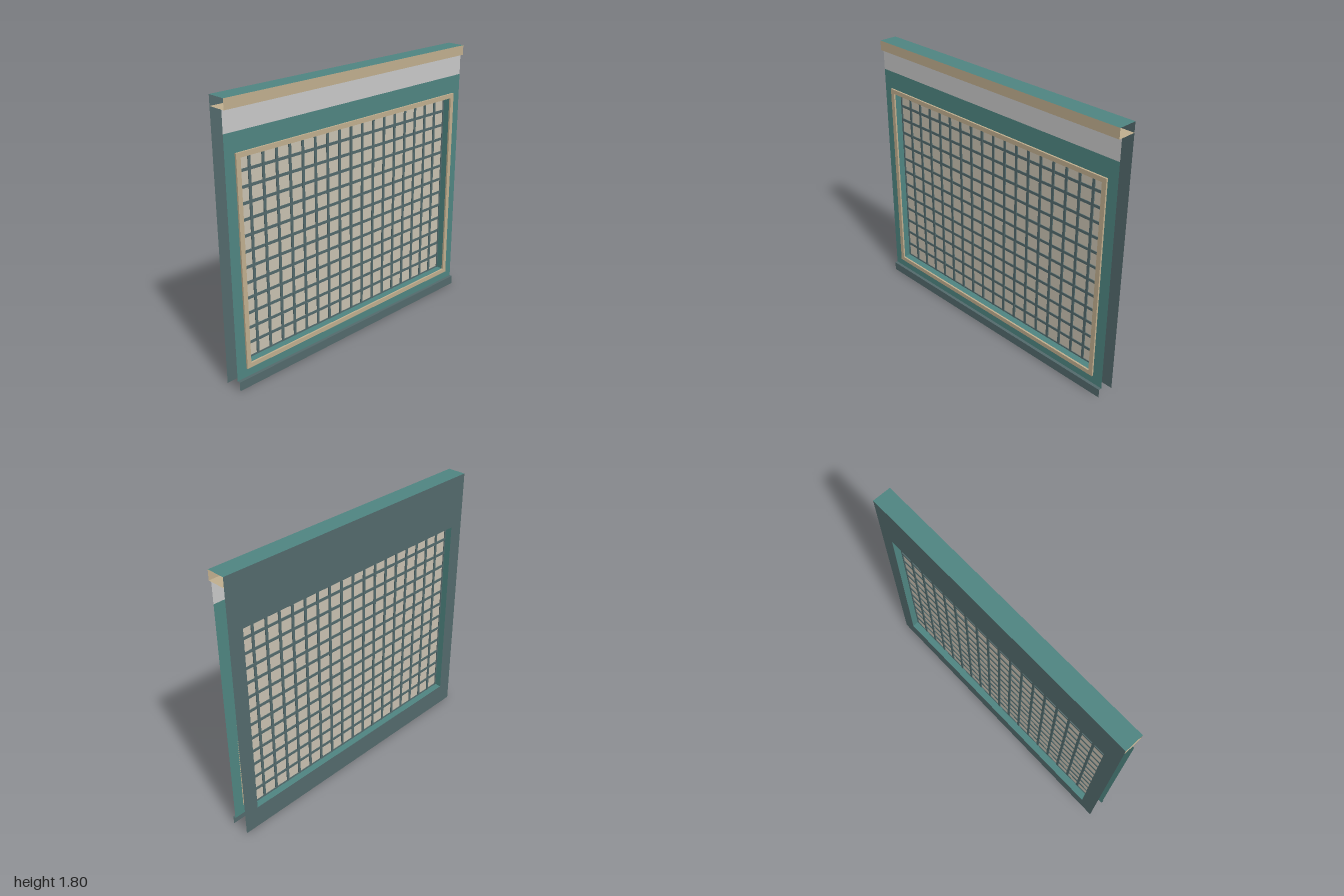
import * as THREE from 'three';

const mat = (name, color) => {
  const m = new THREE.MeshStandardMaterial({ color, side: THREE.DoubleSide });
  m.name = name;
  return m;
};

// Rectangle path given by its edges
function rect(x0, y0, x1, y1, Kind = THREE.Shape) {
  const p = new Kind();
  p.moveTo(x0, y0);
  p.lineTo(x1, y0);
  p.lineTo(x1, y1);
  p.lineTo(x0, y1);
  p.closePath();
  return p;
}

export function createModel() {
  const teal = mat('teal', 0x4f8581);
  const slate = mat('slate', 0x536a6c);
  const tan = mat('tan', 0xc0ae8e);
  const grey = mat('light grey', 0xc8c8c8);
  const pane = mat('pane beige', 0xc9c1b1);

  const model = new THREE.Group();
  model.name = 'windowWall';
  const add = (name, geometry, material, x = 0, y = 0, z = 0, parent = model) => {
    const mesh = new THREE.Mesh(geometry, material);
    mesh.name = name;
    mesh.position.set(x, y, z);
    parent.add(mesh);
    return mesh;
  };

  const back = -0.0625, front = 0.042, lip = 0.0625;
  const W = 0.9, bottom = 0.15, top = 1.45, midY = (bottom + top) / 2;

  // Upright sheet with the window opening cut out
  const sheet = (y0, y1) => {
    const s = rect(-1, y0, 1, y1);
    s.holes.push(rect(-W, bottom, W, top, THREE.Path));
    return new THREE.ShapeGeometry(s);
  };
  // Horizontal strip between two depths
  const shelf = (name, material, width, y, z0, z1, flip = 1) => {
    const m = add(name, new THREE.PlaneGeometry(width, z1 - z0), material, 0, y, (z0 + z1) / 2);
    m.rotation.x = -flip * Math.PI / 2;
  };

  // Wall sheets, open at both ends
  add('backSheet', sheet(0, 1.8), slate, 0, 0, back);
  model.getObjectByName('backSheet').geometry.scale(-1, 1, 1).index.array.reverse();
  add('frontSheet', sheet(0.06, 1.6), teal, 0, 0, front);
  add('greyBand', new THREE.ShapeGeometry(rect(-1, 1.6, 1, 1.735)), grey, 0, 0, front);

  // Cornice
  add('corniceFace', new THREE.ShapeGeometry(rect(-1, 1.735, 1, 1.8)), tan, 0, 0, lip);
  shelf('corniceUnderside', tan, 2, 1.735, back, lip, -1);
  shelf('wallTop', teal, 2, 1.8, back, lip);

  // Base board
  add('baseBoard', new THREE.ShapeGeometry(rect(-1, 0, 1, 0.06)), slate, 0, 0, lip);
  shelf('baseLedge', slate, 2, 0.06, front, lip);

  // Window reveal
  shelf('sill', teal, 2 * W, bottom, back, front);
  shelf('revealHead', teal, 2 * W, top, back, front, -1);
  for (const s of [-1, 1]) {
    const jamb = add('revealJamb', new THREE.PlaneGeometry(front - back, top - bottom), teal,
      s * W, midY, (front + back) / 2);
    jamb.rotation.y = -s * Math.PI / 2;
  }

  // Raised frame around the opening
  const ring = rect(-0.93, 0.12, 0.93, 1.48);
  ring.holes.push(rect(-W, bottom, W, top, THREE.Path));
  add('windowFrame', new THREE.ExtrudeGeometry(ring, { depth: 0.012, bevelEnabled: false }), tan, 0, 0, front);

  // Pane and lattice bars
  const paneZ = -0.01, bar = 0.018;
  add('pane', new THREE.BoxGeometry(2 * W, top - bottom, 0.004), pane, 0, midY, paneZ);
  const lattice = new THREE.Group();
  lattice.name = 'lattice';
  model.add(lattice);
  for (let i = 0; i <= 18; i++) {
    const edge = i === 0 ? 1 : i === 18 ? -1 : 0;
    const w = edge ? bar / 2 : bar;
    add('verticalBar', new THREE.BoxGeometry(w, top - bottom, 0.016), slate,
      -W + i * 0.1 + edge * bar / 4, midY, paneZ, lattice);
  }
  for (let j = 0; j <= 13; j++) {
    const edge = j === 0 ? 1 : j === 13 ? -1 : 0;
    const h = edge ? bar / 2 : bar;
    add('horizontalBar', new THREE.BoxGeometry(2 * W, h, 0.014), slate,
      0, bottom + j * 0.1 + edge * bar / 4, paneZ, lattice);
  }
  return model;
}
